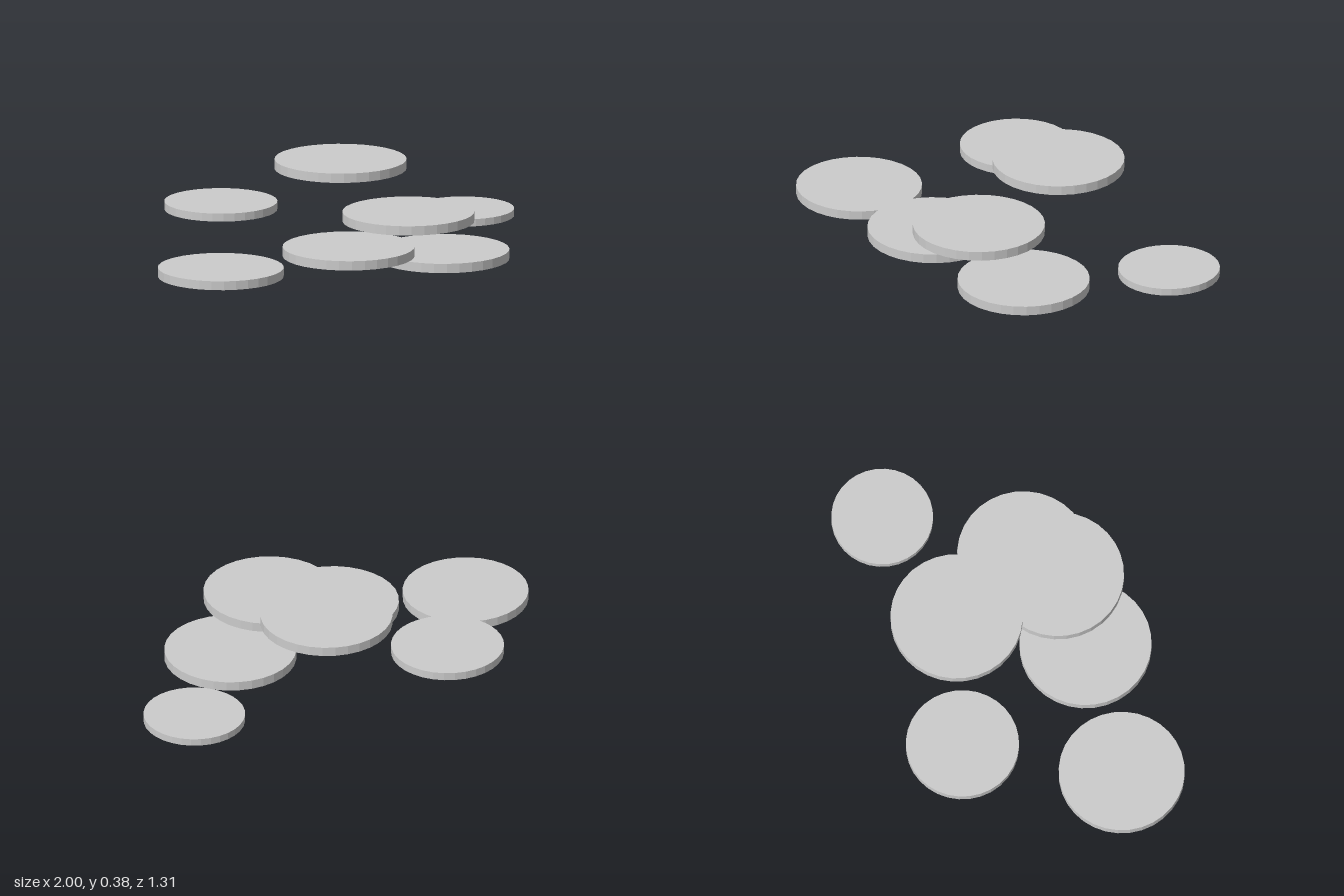
import * as THREE from 'three';

// Each disc: name, centre x, underside height, centre z, radius
const DISCS = [
  ['rightDisc', -0.735, 0.045, 0.033, 0.265],
  ['backDisc', -0.235, 0.178, -0.418, 0.238],
  ['frontRightDisc', -0.216, 0.083, 0.288, 0.278],
  ['frontUpperDisc', 0.06, 0.2, 0.377, 0.278],
  ['frontLowerDisc', 0.28, 0, 0.377, 0.278],
  ['topDisc', 0.163, 0.335, -0.1, 0.278],
  ['leftDisc', 0.786, 0.045, 0.033, 0.214],
];
const THICKNESS = 0.144; // relative to the radius

export function createModel() {
  const group = new THREE.Group();
  group.name = 'floatingDiscs';
  const material = new THREE.MeshStandardMaterial({ color: 0xcccccc, flatShading: true });

  // Flat round discs hovering at different heights
  for (const [name, x, y, z, radius] of DISCS) {
    const height = radius * THICKNESS;
    const disc = new THREE.Mesh(new THREE.CylinderGeometry(radius, radius, height, 32), material);
    disc.name = name;
    disc.position.set(x, y + height / 2, z);
    group.add(disc);
  }
  return group;
}
